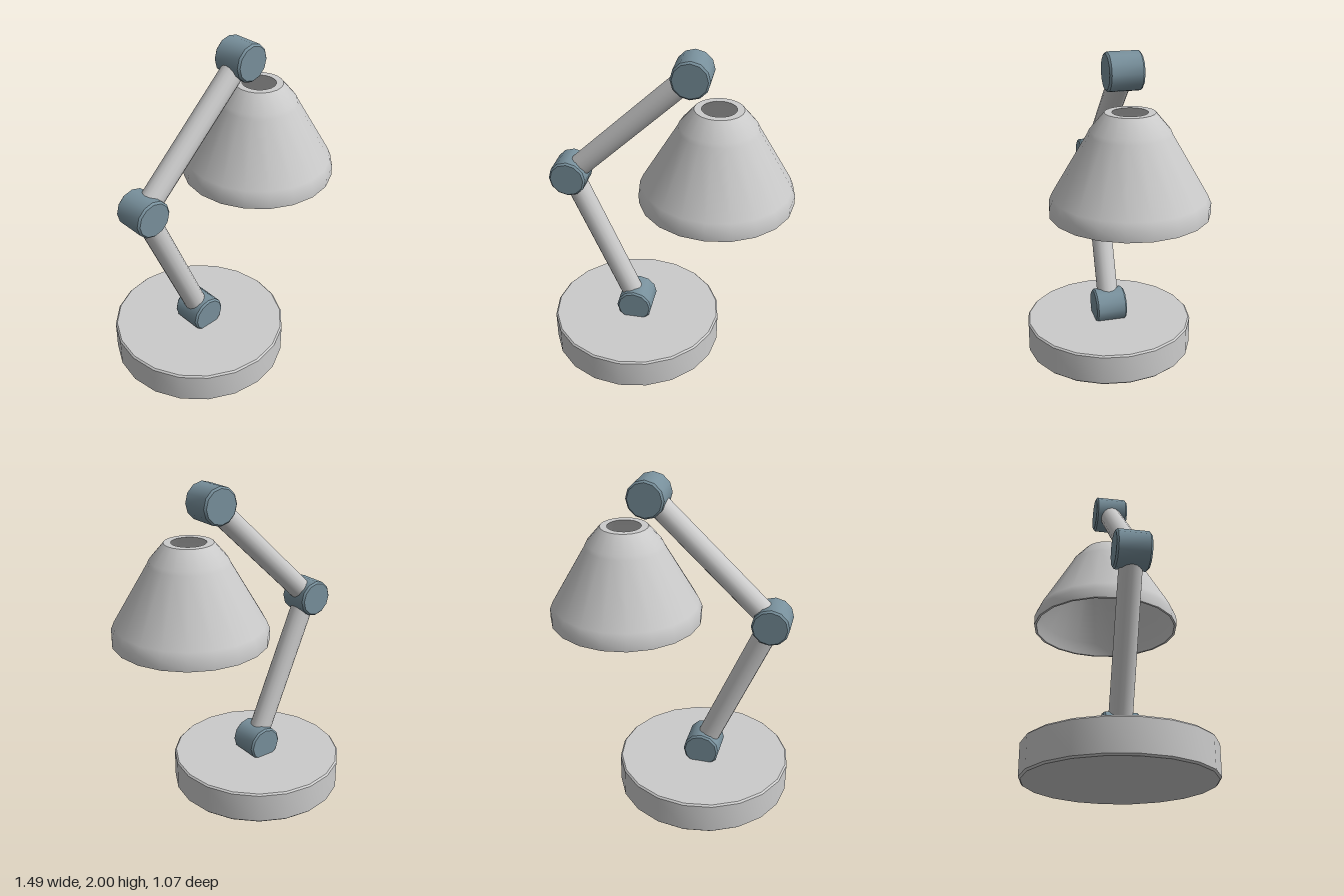
import * as THREE from 'three';
import { toCreasedNormals } from 'three/addons/utils/BufferGeometryUtils.js';

const grey = new THREE.MeshStandardMaterial({ color: 0xcccccc });
const blueGrey = new THREE.MeshStandardMaterial({ color: 0x78909c });

// Revolved profile, smooth around its sides with sharp rims
function turned(name, profile, sides, material) {
  const points = profile.map(([r, y]) => new THREE.Vector2(r, y));
  const geometry = toCreasedNormals(new THREE.LatheGeometry(points, sides), 0.6);
  const mesh = new THREE.Mesh(geometry, material);
  mesh.name = name;
  return mesh;
}

// Solid disc with small bevelled rims, standing on y = 0
function disc(name, radius, height, bevel, sides, material) {
  return turned(name, [
    [0, 0], [radius - bevel, 0], [radius, bevel],
    [radius, height - bevel], [radius - bevel, height], [0, height],
  ], sides, material);
}

export function createModel() {
  const lamp = new THREE.Group();
  lamp.name = 'deskLamp';

  // Base
  const base = disc('base', 0.537, 0.2, 0.01, 20, grey);
  base.position.x = -0.212;
  lamp.add(base);

  // Joints lie along z; the lowest is sunk into the base
  const pivots = [
    ['baseJoint', new THREE.Vector3(-0.212, 0.275, 0)],
    ['elbowJoint', new THREE.Vector3(-0.6, 1.195, 0)],
    ['headJoint', new THREE.Vector3(0.132, 1.888, 0)],
  ];
  for (const [name, p] of pivots) {
    const joint = disc(name, 0.112, 0.2, 0.011, 12, blueGrey);
    joint.rotation.x = Math.PI / 2;
    joint.position.set(p.x, p.y, -0.1);
    lamp.add(joint);
  }

  // Arms run from joint centre to joint centre
  ['lowerArm', 'upperArm'].forEach((name, i) => {
    const from = pivots[i][1], to = pivots[i + 1][1];
    const along = to.clone().sub(from);
    const arm = new THREE.Mesh(new THREE.CylinderGeometry(0.068, 0.068, along.length(), 16), grey);
    arm.name = name;
    arm.position.copy(from).addScaledVector(along, 0.5);
    arm.quaternion.setFromUnitVectors(new THREE.Vector3(0, 1, 0), along.normalize());
    lamp.add(arm);
  });

  // Hollow shade, open at both ends: outside up, rim, then inside down
  const shade = turned('shade', [
    [0.459, 1.12], [0.459, 1.18], [0.44, 1.225], [0.235, 1.575], [0.225, 1.598], [0.142, 1.695],
    [0.1, 1.695], [0.195, 1.575], [0.42, 1.2], [0.445, 1.12], [0.459, 1.12],
  ], 20, grey);
  // Neck tapers steeply above the shoulder
  shade.position.x = 0.285;
  lamp.add(shade);

  return lamp;
}
